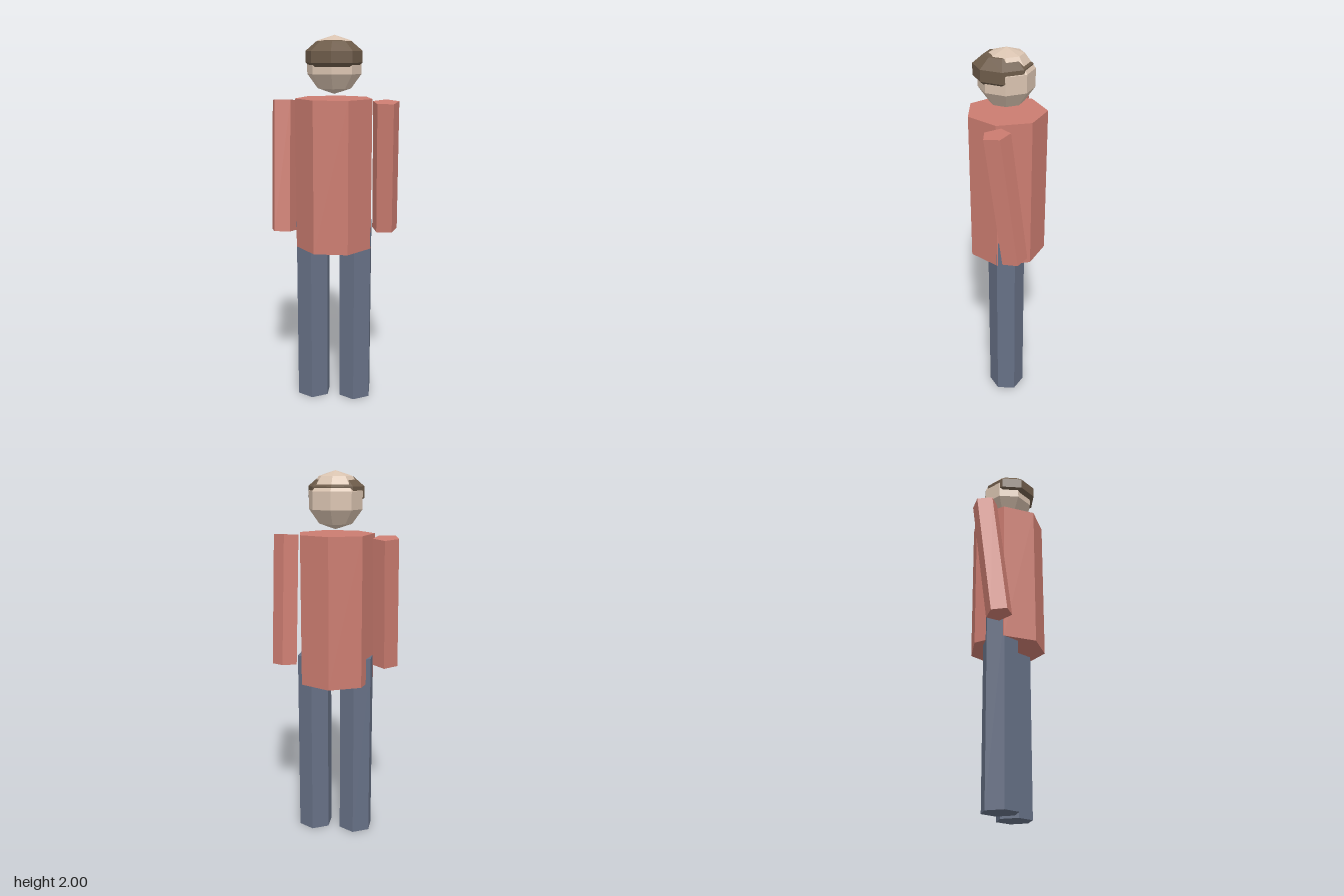
import * as THREE from 'three';

const Z = 0.01; // common depth axis of the figure

export function createModel() {
  const group = new THREE.Group();
  const flat = (name, color) => {
    const m = new THREE.MeshStandardMaterial({ color, flatShading: true });
    m.name = name;
    return m;
  };
  const red = flat('coat red', 0xcb7c70);
  const blue = flat('trouser blue', 0x667085);
  const skin = flat('skin', 0xd9c3b0);
  const brown = flat('band brown', 0x6e5c4a);

  const add = (name, geometry, material, x, y, z) => {
    const mesh = new THREE.Mesh(geometry, material);
    mesh.name = name;
    mesh.position.set(x, y, z);
    group.add(mesh);
    return mesh;
  };
  // Upright prism with one corner pointing backwards
  const prism = (radius, height, sides) =>
    new THREE.CylinderGeometry(radius, radius, height, sides).rotateY(Math.PI);

  // Seven-sided coat
  add('torso', prism(0.207, 0.8, 7), red, 0, 1.28, Z);

  // Legs reach up into the coat; arms swing in opposite directions
  for (const [side, s] of [['left', 1], ['right', -1]]) {
    add(side + 'Leg', prism(0.0965, 1.02, 6), blue, s * 0.117, 0.51, Z);
    const arm = add(side + 'Arm', prism(0.071, 0.7, 5), red, s * 0.272, 1.318, Z);
    arm.rotation.x = s * 0.122;
  }

  // Head, with a squashed ball pushed forward to form the brow band
  add('head', new THREE.SphereGeometry(0.149, 8, 5), skin, 0, 1.851, Z);
  const band = new THREE.SphereGeometry(0.155, 8, 5).scale(1, 0.61, 1);
  add('browBand', band, brown, 0, 1.891, 0.028);

  return group;
}
